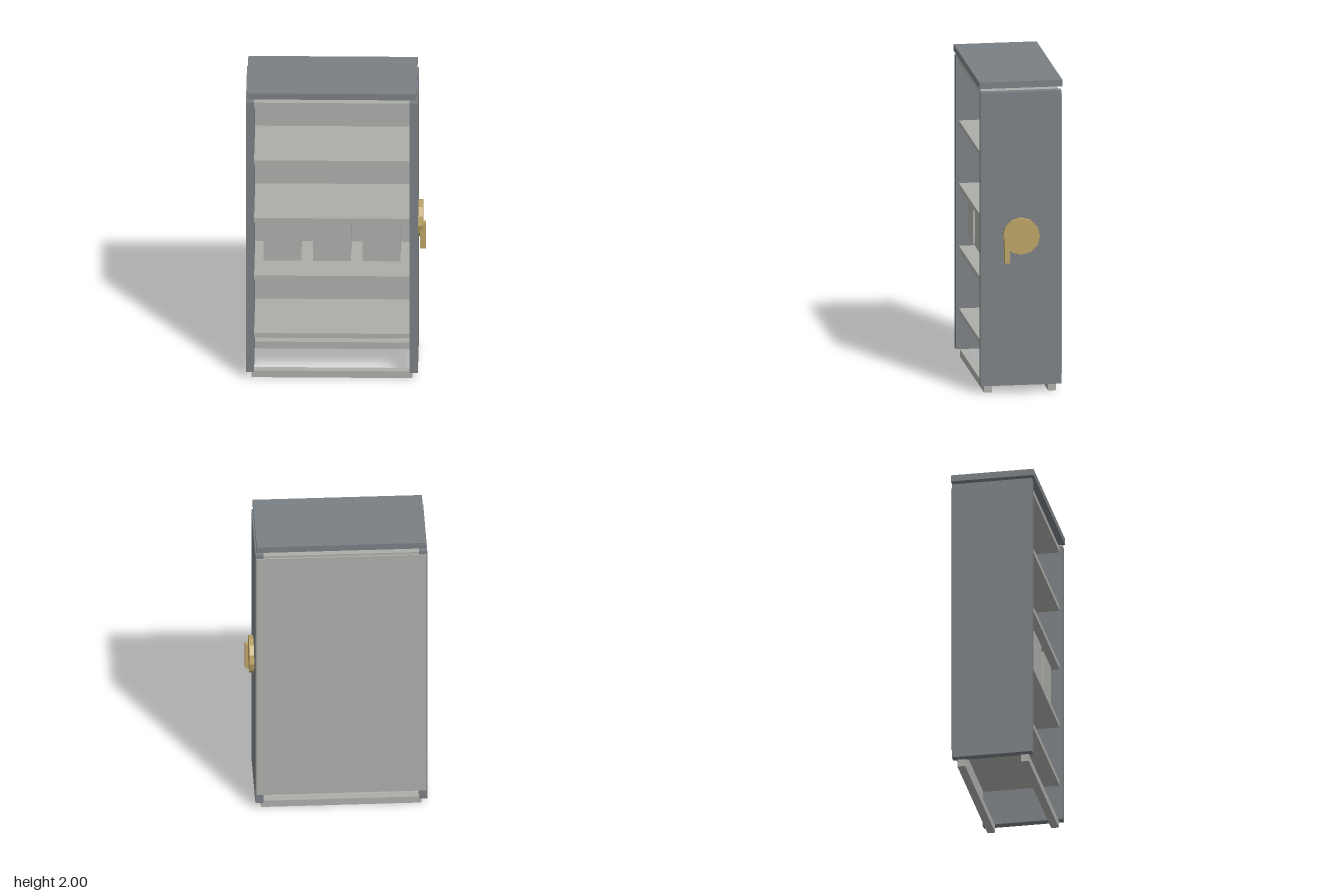
import * as THREE from 'three';

const steel = new THREE.MeshStandardMaterial({ name: 'slate grey', color: 0x7a7f83 });
const pale = new THREE.MeshStandardMaterial({ name: 'pale grey', color: 0xacaca9 });
const brass = new THREE.MeshStandardMaterial({ name: 'brass', color: 0xbaa265 });
brass.flatShading = true;

export function createModel() {
  const group = new THREE.Group();
  group.name = 'cabinet';

  // Box given by its extents on each axis
  const box = (name, material, [x0, x1], [y0, y1], [z0, z1]) => {
    const mesh = new THREE.Mesh(new THREE.BoxGeometry(x1 - x0, y1 - y0, z1 - z0), material);
    mesh.position.set((x0 + x1) / 2, (y0 + y1) / 2, (z0 + z1) / 2);
    mesh.name = name;
    group.add(mesh);
  };

  const inner = [-0.512, 0.461];

  // Carcass: side panels, floating top and back sheet
  box('rightSidePanel', steel, [-0.563, inner[0]], [0.05, 1.934], [-0.256, 0.254]);
  box('leftSidePanel', steel, [inner[1], 0.513], [0.05, 1.934], [-0.256, 0.254]);
  box('topPanel', steel, [-0.555, 0.505], [1.958, 2], [-0.264, 0.262]);
  box('backPanel', pale, [-0.558, 0.508], [0.115, 1.908], [-0.262, -0.252]);

  // Evenly spaced shelves
  for (let i = 0; i < 5; i++) {
    const y = 0.28 + i * 0.4025;
    box('shelf' + (i + 1), pale, inner, [y, y + 0.032], [-0.25, 0.235]);
  }

  // Storage boxes on the middle bay
  [-0.335, -0.025, 0.285].forEach((x, i) =>
    box('storageBox' + (i + 1), pale, [x - 0.118, x + 0.118], [0.797, 1.075], [-0.19, 0.19]));

  // Floor rails
  box('frontRail', pale, [-0.528, 0.477], [0, 0.047], [0.178, 0.227]);
  box('backRail', pale, [-0.528, 0.477], [0, 0.047], [-0.227, -0.178]);

  // Hand wheel with crank grip on the left side
  const wheel = new THREE.Mesh(new THREE.CylinderGeometry(0.117, 0.117, 0.032, 12), brass);
  wheel.name = 'handWheel';
  wheel.rotation.z = -Math.PI / 2;
  wheel.position.set(0.526, 1.01, 0);
  group.add(wheel);
  box('crankGrip', brass, [0.523, 0.562], [0.846, 1.027], [0.075, 0.109]);

  return group;
}
